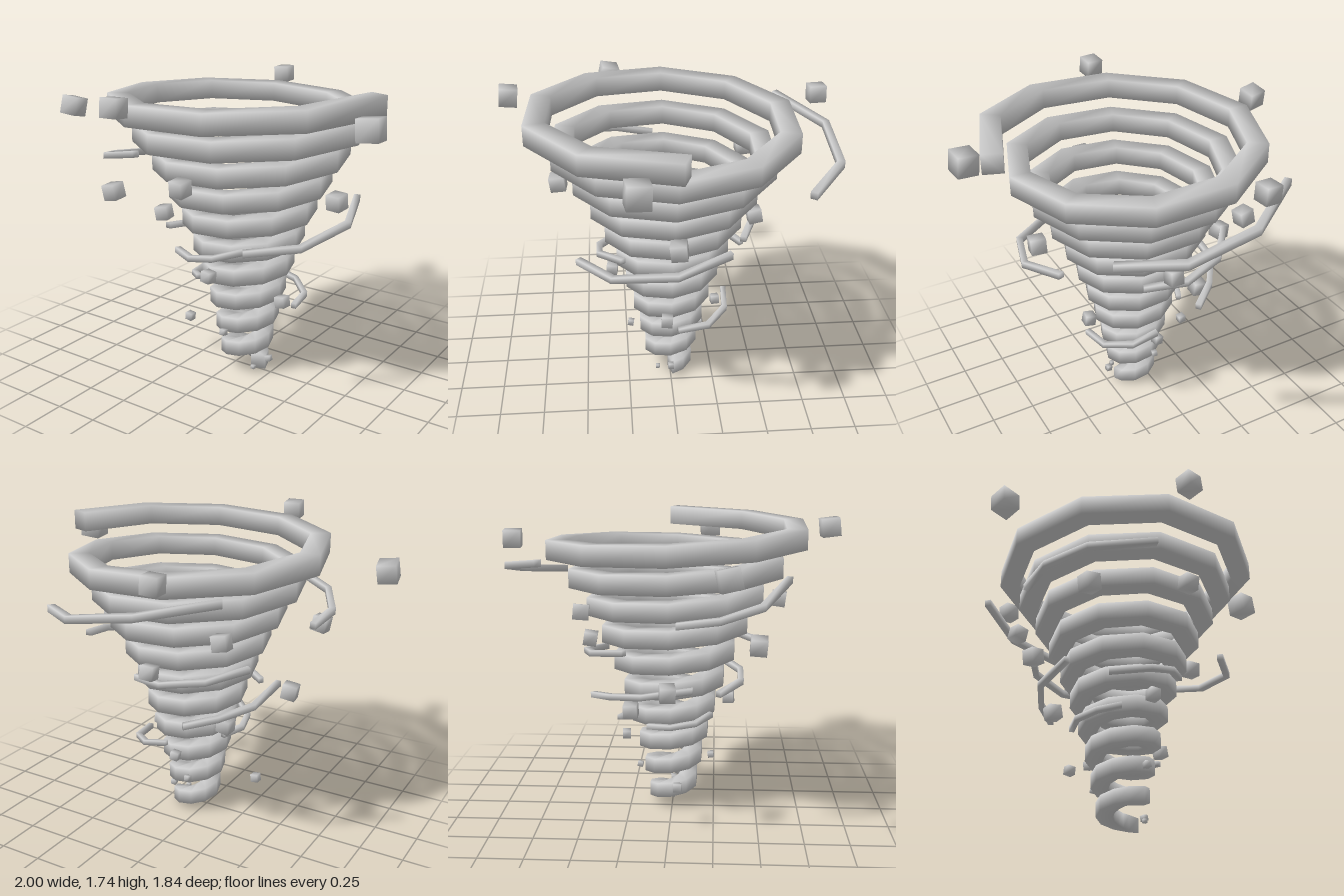
import * as THREE from 'three';
import { mergeVertices } from 'three/addons/utils/BufferGeometryUtils.js';

const material = new THREE.MeshStandardMaterial({ color: 0xcccccc });

// Sweeps a soft-shaded, four-sided bar along points, with mitred corners and closed ends.
// size(t) returns [width, height] at t = 0..1.
function sweepBar(points, size) {
  const positions = [], index = [];
  const last = points.length - 1;
  const up = new THREE.Vector3(0, 1, 0);
  const direction = (a, b) => points[b].clone().sub(points[a]).setY(0).normalize();
  points.forEach((p, i) => {
    const before = direction(Math.max(i - 1, 0), Math.max(i, 1));
    const after = direction(Math.min(i, last - 1), Math.min(i + 1, last));
    const tangent = before.clone().add(after).normalize();
    const side = tangent.clone().cross(up).divideScalar(Math.max(tangent.dot(after), 0.5));
    const [w, h] = size(i / last);
    for (const [s, u] of [[-1, -1], [1, -1], [1, 1], [-1, 1]]) {
      const v = p.clone().addScaledVector(side, s * w / 2).addScaledVector(up, u * h / 2);
      positions.push(v.x, v.y, v.z);
    }
    if (i === last) return;
    for (let k = 0; k < 4; k++) {
      const a = i * 4 + k, b = i * 4 + (k + 1) % 4;
      index.push(a, b + 4, b, a, a + 4, b + 4);
    }
  });
  const e = last * 4;
  index.push(0, 1, 2, 0, 2, 3, e, e + 2, e + 1, e, e + 3, e + 2);
  const geometry = new THREE.BufferGeometry();
  geometry.setAttribute('position', new THREE.Float32BufferAttribute(positions, 3));
  geometry.setIndex(index);
  geometry.computeVertexNormals();
  return geometry;
}

// Cube whose corners share normals, for soft shading
function softCube() {
  const box = new THREE.BoxGeometry(1, 1, 1);
  box.deleteAttribute('normal');
  box.deleteAttribute('uv');
  const geometry = mergeVertices(box);
  geometry.computeVertexNormals();
  return geometry;
}

function seeded(seed) {
  return () => (seed = (seed * 16807) % 2147483647) / 2147483647;
}

export function createModel() {
  const model = new THREE.Group();
  model.name = 'tornado';
  const add = (parent, name, geometry) => {
    const mesh = new THREE.Mesh(geometry, material);
    mesh.name = name;
    parent.add(mesh);
    return mesh;
  };

  // Funnel: ten turns of ten straight segments, widening by a fifth each turn
  const turns = 10, sides = 10;
  const width = t => 0.09 + 0.022 * t;
  const path = [];
  for (let i = 0; i <= turns * sides; i++) {
    const n = i / sides, angle = n * Math.PI * 2;
    const r = 0.133 * 1.2 ** n - width(n / turns) * 0.525;
    path.push(new THREE.Vector3(0.075 + r * Math.cos(angle), 0.042 + 0.163 * n, -r * Math.sin(angle)));
  }
  // The top end runs on a little past its last corner
  path.at(-1).add(new THREE.Vector3(0.012, 0, -0.03));
  add(model, 'funnelSpiral', sweepBar(path, t => [width(t), 0.084 + 0.027 * t]));

  // Wind streaks: short bent bars circling the funnel
  const streaks = new THREE.Group();
  streaks.name = 'windStreaks';
  model.add(streaks);
  [
    [0.04, [-0.475, 1.53, -0.67], [-0.13, 1.47, -0.905], [0.26, 1.40, -0.905], [0.54, 1.36, -0.70]],
    [0.036, [-0.18, 1.41, 0.65], [-0.53, 1.32, 0.49], [-0.65, 1.27, 0.27], [-0.63, 1.24, 0.05]],
    [0.035, [0.39, 0.94, 0.51], [0.62, 0.96, 0.33], [0.72, 1.02, 0], [0.63, 1.085, -0.28]],
    [0.033, [-0.22, 0.765, 0.27], [-0.03, 0.79, 0.40], [0.12, 0.82, 0.40], [0.29, 0.865, 0.27]],
    [0.033, [-0.40, 0.835, 0.13], [-0.385, 0.79, -0.15], [-0.26, 0.755, -0.33], [-0.11, 0.725, -0.45]],
    [0.034, [-0.40, 1.04, -0.24], [-0.24, 1.0, -0.43], [0, 0.96, -0.495], [0.215, 0.935, -0.405]],
    [0.03, [0.38, 0.45, -0.03], [0.355, 0.46, -0.2], [0.23, 0.49, -0.31], [0.08, 0.525, -0.32]],
    [0.03, [-0.10, 0.61, 0.23], [-0.20, 0.585, 0.14], [-0.235, 0.57, 0], [-0.18, 0.56, -0.13]],
  ].forEach(([thick, ...points], i) => {
    const bar = sweepBar(points.map(p => new THREE.Vector3(...p)), () => [thick, thick]);
    add(streaks, `windStreak${i + 1}`, bar);
  });

  // Debris: tilted cubes, smaller towards the ground (x, y, z, size)
  const debris = new THREE.Group();
  debris.name = 'debris';
  model.add(debris);
  const cube = softCube(), random = seeded(7);
  [
    [-0.94, 1.525, 0.31, 0.106], [-0.125, 1.69, 0.86, 0.098], [0.925, 1.595, 0.205, 0.118],
    [-0.21, 1.63, -0.855, 0.093], [0.075, 1.26, 0.61, 0.083], [-0.36, 1.255, -0.47, 0.083],
    [-0.505, 1.115, 0.475, 0.088], [0.645, 1.13, -0.01, 0.085], [0.075, 1.015, -0.485, 0.078],
    [-0.535, 0.86, 0, 0.082], [-0.25, 0.675, -0.22, 0.078], [0.04, 0.675, 0.33, 0.062],
    [0.34, 0.49, 0.03, 0.063], [0.05, 0.435, -0.275, 0.048], [0.07, 0.305, 0.23, 0.034],
    [-0.31, 0.24, 0.045, 0.045], [0.02, 0.255, -0.19, 0.03], [0.235, 0.088, 0, 0.032],
    [0.175, 0.045, 0.075, 0.022],
  ].forEach(([x, y, z, size], i) => {
    const mesh = add(debris, `debris${i + 1}`, cube);
    mesh.position.set(x, y, z);
    mesh.scale.setScalar(size);
    mesh.rotation.set(...[0, 1, 2].map(() => (random() - 0.5) * 0.4));
  });

  return model;
}
